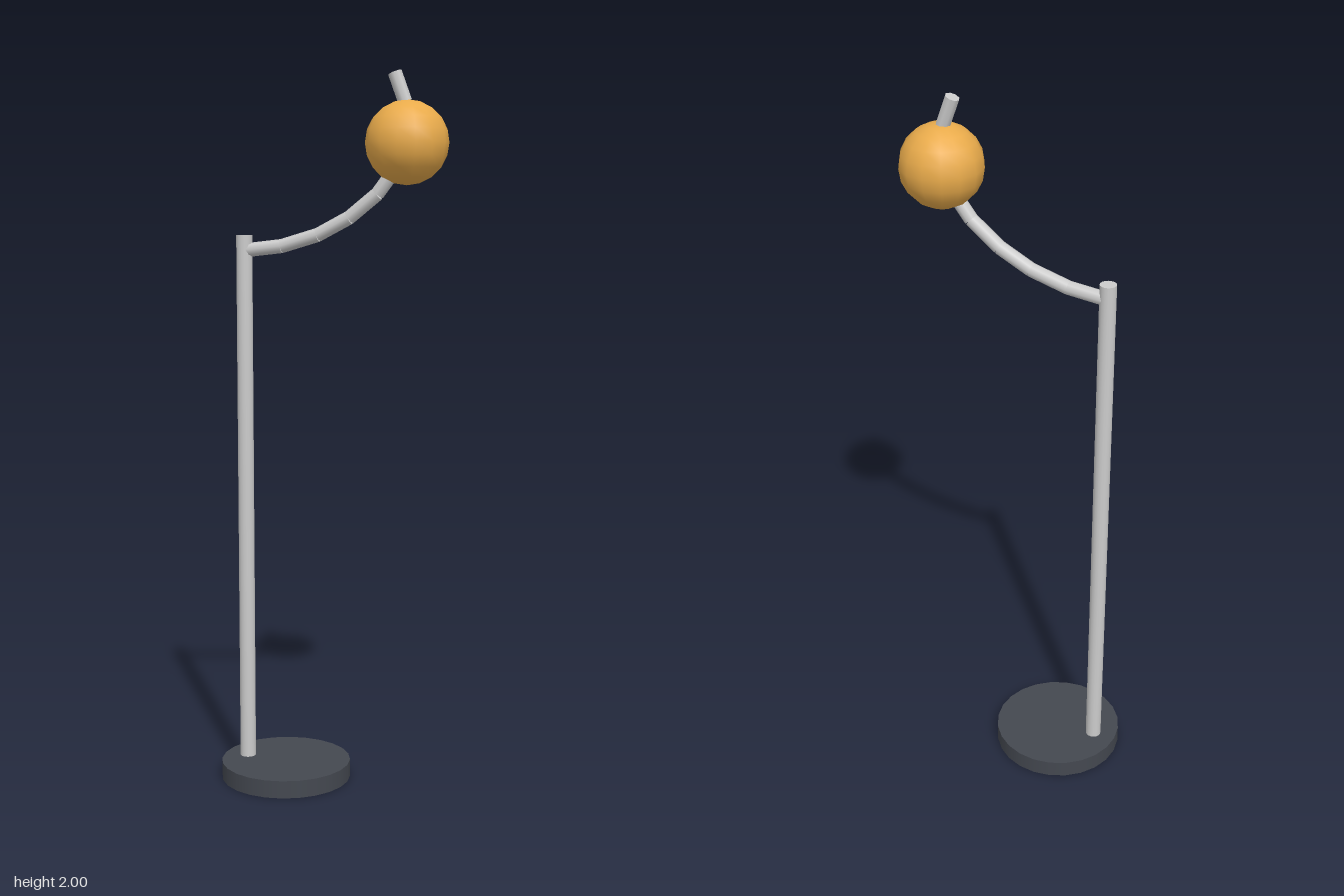
import * as THREE from 'three';

const grey = new THREE.MeshStandardMaterial({ color: 0xcccccc });
const dark = new THREE.MeshStandardMaterial({ color: 0x444850 });
const amber = new THREE.MeshStandardMaterial({ color: 0xe9ab4b });

function part(name, geometry, material, x, y, z = 0) {
  const mesh = new THREE.Mesh(geometry, material);
  mesh.name = name;
  mesh.position.set(x, y, z);
  return mesh;
}

// Straight rod between two points
function rod(name, a, b, radius, sides) {
  const dir = b.clone().sub(a);
  const mesh = part(name, new THREE.CylinderGeometry(radius, radius, dir.length(), sides), grey, 0, 0);
  mesh.position.copy(a).add(b).multiplyScalar(0.5);
  mesh.quaternion.setFromUnitVectors(new THREE.Vector3(0, 1, 0), dir.normalize());
  return mesh;
}

export function createModel() {
  const lamp = new THREE.Group();
  lamp.name = 'floorLamp';

  // Disc foot, with the post standing off-centre on it
  lamp.add(part('base', new THREE.CylinderGeometry(0.186, 0.186, 0.05, 24), dark, -0.138, 0.025));
  lamp.add(part('post', new THREE.CylinderGeometry(0.0225, 0.0225, 1.535, 16), grey, -0.255, 0.7925));

  // Curved arm made of short straight rods, passing through the globe
  const arm = new THREE.Group();
  arm.name = 'arm';
  const path = [
    [-0.25, 1.518], [-0.145, 1.53], [-0.04, 1.561], [0.05, 1.608], [0.13, 1.672],
    [0.189, 1.75], [0.215, 1.835], [0.206, 1.915], [0.177, 1.993],
  ].map(([x, y]) => new THREE.Vector3(x, y, 0));
  for (let i = 1; i < path.length; i++) {
    arm.add(rod('armSegment' + i, path[i - 1], path[i], 0.0195, 8));
  }
  lamp.add(arm);

  // Globe shade
  const globe = part('globe', new THREE.SphereGeometry(0.1135, 14, 10), amber, 0.212, 1.808);
  globe.rotation.y = Math.PI / 2;
  lamp.add(globe);

  return lamp;
}
